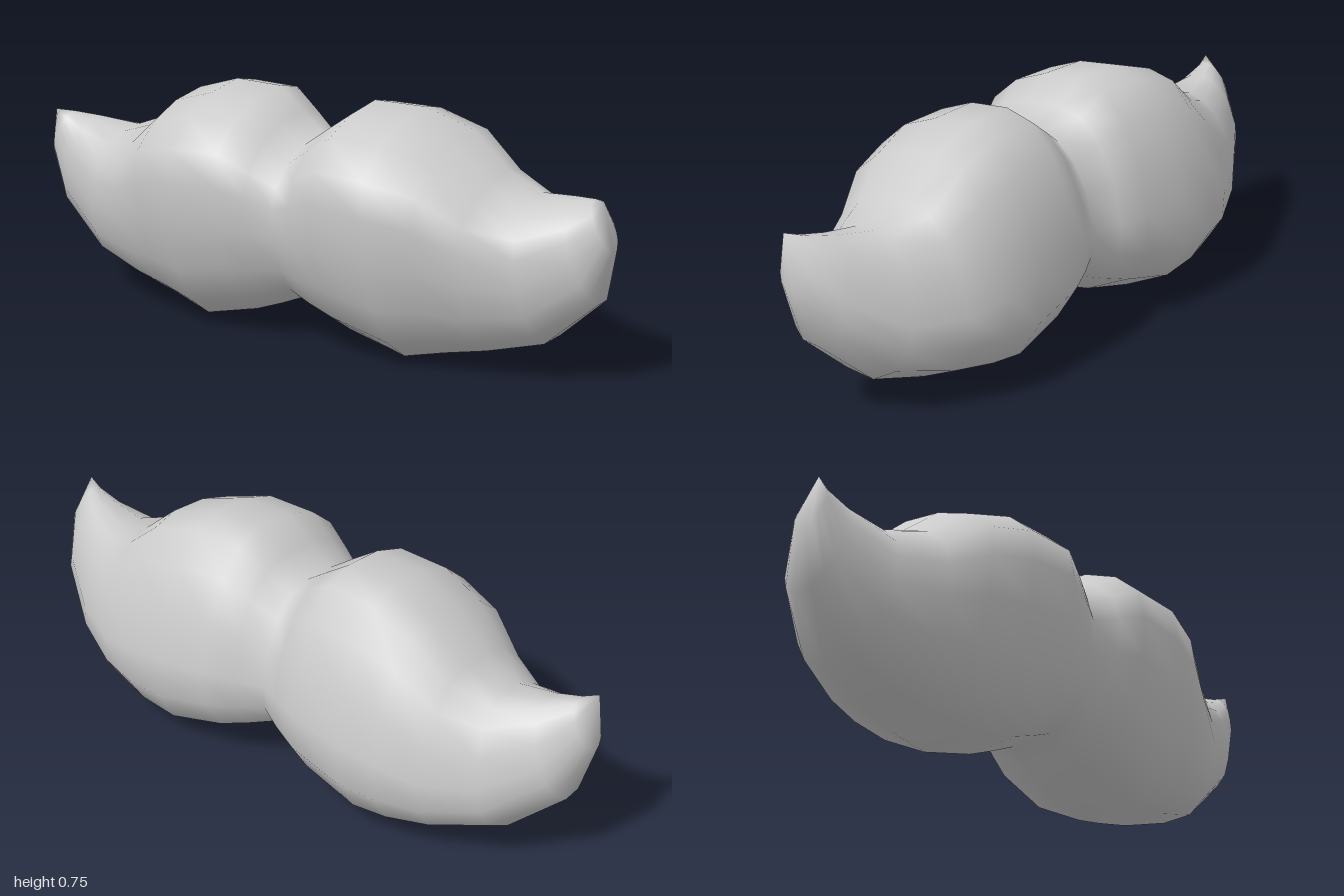
import * as THREE from 'three';

// Cross-section seen from the side: [depth -1..1, height 0..1], top -> front -> bottom -> back
const PROFILE = [
  [-0.15, 1], [0.28, 0.975], [0.66, 0.91], [0.95, 0.8], [1, 0.66], [0.95, 0.47], [0.81, 0.27], [0.6, 0.115],
  [0.28, 0.015], [-0.28, 0], [-0.78, 0.11], [-1, 0.27], [-1, 0.45], [-0.88, 0.67], [-0.7, 0.85], [-0.45, 0.97],
];

// Sections from the middle to one end:
// x at top, y at top, x at bottom, y at bottom, z front, z back, roundness
const SECTIONS = [
  [0.00, 0.62, 0.00, 0.12, 0.26, -0.24, 0.4],
  [0.08, 0.68, 0.08, 0.085, 0.292, -0.28, 0.3],
  [0.17, 0.745, 0.17, 0.05, 0.32, -0.315, 0.15],
  [0.335, 0.745, 0.36, 0.00, 0.318, -0.325, 0],
  [0.49, 0.695, 0.48, 0.028, 0.28, -0.325, 0],
  [0.61, 0.59, 0.61, 0.055, 0.225, -0.288, 0.2],
  [0.73, 0.545, 0.79, 0.108, 0.16, -0.215, 0.5],
  [0.85, 0.562, 0.955, 0.26, 0.108, -0.118, 0.8],
  [0.93, 0.575, 1.00, 0.43, 0.08, -0.03, 1],
];
const TIP = [0.975, 0.585, 0.06];

function ring([xt, yt, xb, yb, zf, zr, round], side) {
  return PROFILE.map(([u, v]) => {
    // blend the profile towards an ellipse near the ends
    const a = Math.atan2(v * 2 - 1, u);
    const d = THREE.MathUtils.lerp(u, Math.cos(a), round);
    const h = THREE.MathUtils.lerp(v, 0.5 + 0.5 * Math.sin(a), round);
    return [
      side * THREE.MathUtils.lerp(xb, xt, h),
      THREE.MathUtils.lerp(yb, yt, h),
      (zf + zr) / 2 + d * (zf - zr) / 2,
    ];
  });
}

function moustacheGeometry() {
  // rings run from the right tip to the left tip, sharing the middle one
  const rings = [
    ...SECTIONS.slice(1).reverse().map((s) => ring(s, -1)),
    ...SECTIONS.map((s) => ring(s, 1)),
  ];
  const n = PROFILE.length;
  const points = rings.flat(2);
  const index = [];
  for (let i = 0; i < rings.length - 1; i++) {
    for (let j = 0; j < n; j++) {
      const k = (j + 1) % n;
      const a = i * n + j, b = i * n + k, c = b + n, d = a + n;
      index.push(a, b, c, a, c, d);
    }
  }
  // pointed ends
  const right = rings.length * n, left = right + 1, last = right - n;
  points.push(-TIP[0], TIP[1], TIP[2], ...TIP);
  for (let j = 0; j < n; j++) {
    const k = (j + 1) % n;
    index.push(right, k, j, left, last + j, last + k);
  }
  const geometry = new THREE.BufferGeometry();
  geometry.setAttribute('position', new THREE.Float32BufferAttribute(points, 3));
  geometry.setIndex(index);
  geometry.computeVertexNormals();
  return geometry;
}

export function createModel() {
  const group = new THREE.Group();
  group.name = 'moustache';
  const material = new THREE.MeshStandardMaterial({ color: 0xcccccc });
  const hair = new THREE.Mesh(moustacheGeometry(), material);
  hair.name = 'moustacheHair';
  group.add(hair);
  return group;
}
